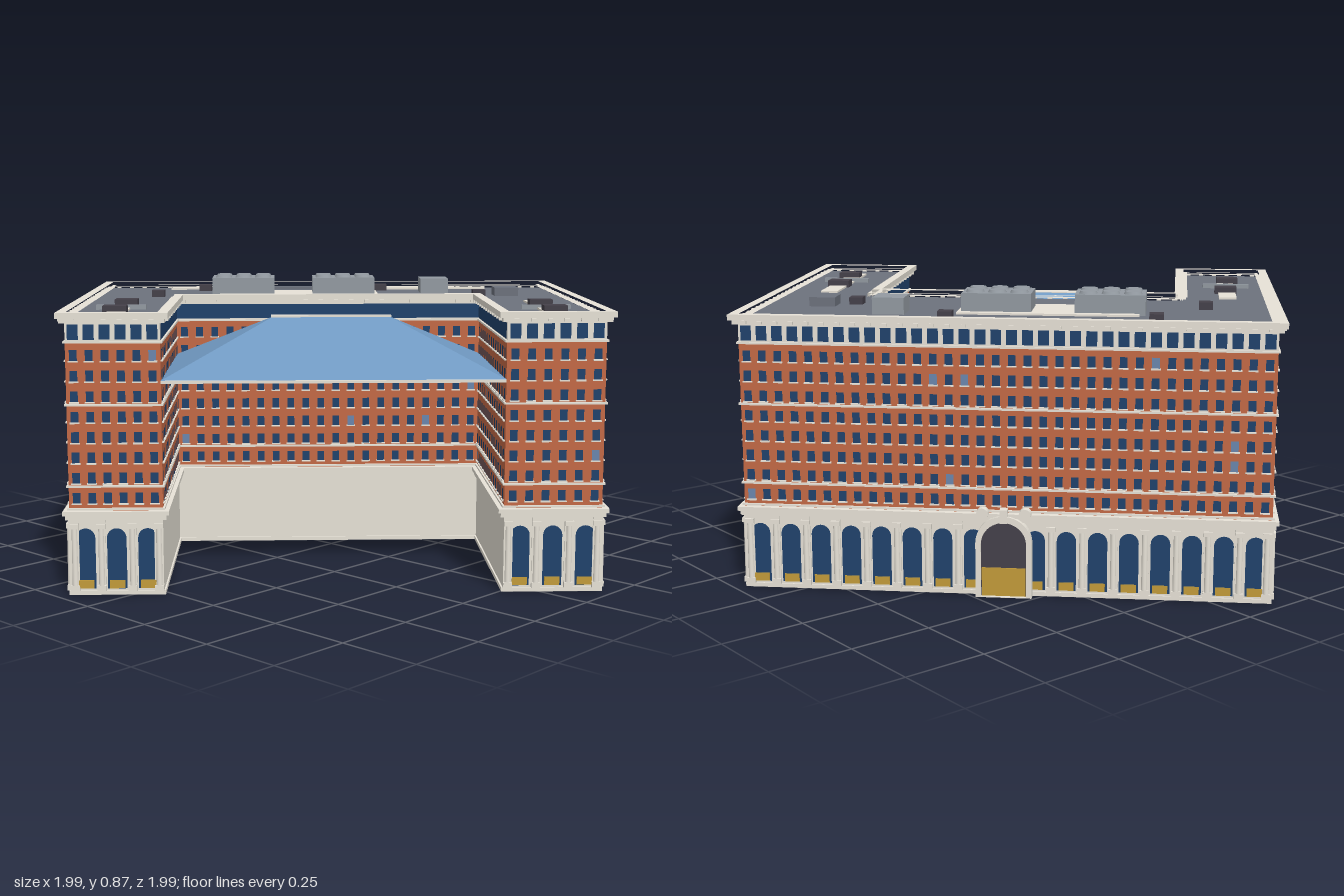
import * as THREE from 'three';
import { mergeGeometries } from 'three/addons/utils/BufferGeometryUtils.js';

const U = 0.768, V = 0.592;                   // outer half sizes of the block
const UL = -0.5, UR = 0.483, VC = -0.046;     // courtyard walls
const DECK = 0.798;

const colour = (name, hex, side = THREE.FrontSide) => {
  const m = new THREE.MeshStandardMaterial({ color: hex, side });
  m.name = name;
  return m;
};

export function createModel() {
  const mats = {
    stone: colour('pale stone', 0xe8e3d8),
    brick: colour('red brick', 0xc46a46),
    navy: colour('dark window glass', 0x20426c),
    pale: colour('pale window glass', 0x6b86ad),
    glass: colour('atrium glass', 0x7099c2, THREE.DoubleSide),
    roof: colour('roof grey', 0x6d727d),
    metal: colour('plant metal', 0x939aa1),
    base: colour('underside grey', 0x54585f),
    dark: colour('charcoal', 0x45414a),
    gold: colour('brass', 0xc29b3a),
  };

  // Collect pieces by part name; each part becomes one merged mesh
  const parts = new Map();
  const add = (name, mat, geo, matrix) => {
    const g = geo.index ? geo.toNonIndexed() : geo.clone();
    g.deleteAttribute('uv');
    if (matrix) g.applyMatrix4(matrix);
    if (!parts.has(name)) parts.set(name, { mat, list: [] });
    parts.get(name).list.push(g);
  };
  const box = (name, mat, w, h, d, x, y, z, matrix) =>
    add(name, mat, new THREE.BoxGeometry(w, h, d).translate(x, y, z), matrix);
  const pane = (name, mat, w, h, x, y, z, matrix) =>
    add(name, mat, new THREE.PlaneGeometry(w, h).translate(x, y, z), matrix);

  // U-shaped plan grown outward by o
  const planPoints = (o) => [
    [-U - o, -V - o], [U + o, -V - o], [U + o, V + o], [UR - o, V + o],
    [UR - o, VC + o], [UL + o, VC + o], [UL + o, V + o], [-U - o, V + o],
  ].map(([x, z]) => new THREE.Vector2(x, -z));
  const slab = (name, mat, o, y0, y1, hole) => {
    const s = new THREE.Shape(planPoints(o));
    if (hole !== undefined) s.holes.push(new THREE.Path(planPoints(hole)));
    const g = new THREE.ExtrudeGeometry(s, { depth: y1 - y0, bevelEnabled: false });
    add(name, mat, g.rotateX(-Math.PI / 2).translate(0, y0, 0));
  };

  // Main masses, mouldings and roof deck
  slab('underside', mats.base, 0, 0, 0.004);
  slab('plinth', mats.stone, 0.005, 0.002, 0.014);
  slab('baseStorey', mats.stone, 0, 0.004, 0.25);
  slab('baseCornice', mats.stone, 0.011, 0.224, 0.238);
  slab('baseCornice', mats.stone, 0.018, 0.238, 0.25);
  slab('brickWalls', mats.brick, 0, 0.25, 0.738);
  slab('topStorey', mats.stone, 0, 0.738, DECK - 0.004);
  slab('roofDeck', mats.roof, -0.002, DECK - 0.004, DECK);
  for (const y of [0.252, 0.318, 0.553, 0.732]) slab('stringCourses', mats.stone, 0.006, y, y + 0.006);
  slab('cornice', mats.stone, 0.014, 0.79, 0.803, -0.012);
  slab('cornice', mats.stone, 0.024, 0.803, 0.82, -0.004);
  slab('parapetStep', mats.stone, -0.004, DECK, 0.81, -0.016);

  // Arched outline standing on y = y0
  const arch = (S, w, y0, top) => {
    const s = new S();
    s.moveTo(-w / 2, y0);
    s.lineTo(w / 2, y0);
    s.lineTo(w / 2, top - w / 2);
    s.absarc(0, top - w / 2, w / 2, 0, Math.PI, false);
    s.lineTo(-w / 2, y0);
    return s;
  };
  const archPane = new THREE.ShapeGeometry(arch(THREE.Shape, 0.056, 0.02, 0.198), 6);
  const column = new THREE.CylinderGeometry(0.008, 0.009, 0.17, 8, 1, true, -Math.PI / 2, Math.PI);

  let seed = 7;
  const random = () => (seed = (seed * 16807) % 2147483647) / 2147483647;

  // One facade: local +z faces outward, x runs along the wall
  const facade = (x, z, angle, len, windows, bays, skip = -1) => {
    const m = new THREE.Matrix4().makeRotationY(angle).setPosition(x, 0, z);
    const step = len / windows;
    for (let i = 0; i < windows; i++) {
      const wx = -len / 2 + (i + 0.5) * step;
      for (let r = 0; r < 8; r++) {
        const y = 0.287 + r * 0.0587;
        const lit = random() < 0.012;
        pane(lit ? 'paleWindows' : 'windows', lit ? mats.pale : mats.navy, 0.022, 0.031, wx, y, 0.002, m);
        box('windowSills', mats.stone, 0.028, 0.004, 0.006, wx, y - 0.0175, 0.003, m);
      }
      if (bays) pane('topWindows', mats.navy, 0.031, 0.043, wx, 0.764, 0.002, m);
      box('corniceDentils', mats.stone, 0.014, 0.009, 0.008, wx, 0.797, 0.018, m);
    }
    if (!bays) {
      pane('courtyardTopGlazing', mats.navy, len, 0.046, 0, 0.764, 0.002, m);
      return;
    }
    const bay = len / bays;
    for (let i = 0; i <= bays; i++) {
      const cx = Math.min(Math.max(-len / 2 + i * bay, -len / 2 + 0.013), len / 2 - 0.013);
      // pilaster, half column, foot and capital
      box('piers', mats.stone, 0.026, 0.21, 0.004, cx, 0.118, 0.002, m);
      add('columns', mats.stone, column, new THREE.Matrix4().makeTranslation(cx, 0.115, 0.002).premultiply(m));
      box('columnCapitals', mats.stone, 0.026, 0.014, 0.011, cx, 0.205, 0.0055, m);
      box('columnFeet', mats.stone, 0.026, 0.016, 0.011, cx, 0.022, 0.0055, m);
      if (i === bays || i === skip) continue;
      const wx = -len / 2 + (i + 0.5) * bay;
      add('archedWindows', mats.navy, archPane, new THREE.Matrix4().makeTranslation(wx, 0, 0.002).premultiply(m));
      box('brassPanels', mats.gold, 0.044, 0.024, 0.004, wx, 0.033, 0.003, m);
    }
  };
  const H = Math.PI / 2;
  facade(0, -V, Math.PI, 2 * U, 34, 17, 8);
  facade(-U, 0, -H, 2 * V, 24, 12);
  facade(U, 0, H, 2 * V, 24, 12);
  facade((UL - U) / 2, V, 0, U + UL, 6, 3);
  facade((UR + U) / 2, V, 0, U - UR, 6, 3);
  facade((UL + UR) / 2, VC, 0, UR - UL, 20, 0);
  facade(UL, (V + VC) / 2, H, V - VC, 13, 0);
  facade(UR, (V + VC) / 2, -H, V - VC, 13, 0);

  // Arched entrance portal in the middle of the long back wall
  const door = new THREE.Matrix4().makeRotationY(Math.PI).setPosition(0, 0, -V);
  const frame = arch(THREE.Shape, 0.164, 0, 0.245);
  frame.holes.push(arch(THREE.Path, 0.132, 0.002, 0.226));
  add('portalFrame', mats.stone, new THREE.ExtrudeGeometry(frame, { depth: 0.026, bevelEnabled: false }), door);
  add('portalOpening', mats.dark, new THREE.ShapeGeometry(arch(THREE.Shape, 0.132, 0.004, 0.226), 10).translate(0, 0, 0.02), door);
  box('portalDoors', mats.gold, 0.128, 0.085, 0.004, 0, 0.047, 0.021, door);
  box('portalKeystone', mats.stone, 0.022, 0.04, 0.03, 0, 0.245, 0.015, door);
  for (const side of [-1, 1]) {
    add('portalScrolls', mats.stone, new THREE.CylinderGeometry(0.018, 0.018, 0.026, 12)
      .rotateX(H).translate(side * 0.062, 0.25, 0.013), door);
  }

  // Hipped glass roof over the courtyard
  const eave = 0.625, ridge = 0.778, half = (V - VC) / 2, mid = (V + VC) / 2;
  const c = [[UL, eave, VC], [UR, eave, VC], [UR, eave, V], [UL, eave, V],
    [UL + half, ridge, mid], [UR - half, ridge, mid]];
  const hip = new THREE.BufferGeometry();
  const faces = [3, 2, 5, 3, 5, 4, 1, 0, 4, 1, 4, 5, 0, 3, 4, 2, 1, 5];
  hip.setAttribute('position', new THREE.Float32BufferAttribute(faces.flatMap((i) => c[i]), 3));
  hip.computeVertexNormals();
  add('atriumRoof', mats.glass, hip);
  box('atriumRidge', mats.stone, UR - UL - 2 * half + 0.02, 0.006, 0.024, (UL + UR) / 2, ridge, mid);
  box('atriumEave', mats.stone, UR - UL, 0.008, 0.012, (UL + UR) / 2, eave - 0.005, V - 0.006);

  // Items standing on the roof deck
  const onDeck = (name, mat, w, h, d, x, z) => box(name, mat, w, h, d, x, DECK + h / 2, z);
  onDeck('backWalkway', mats.stone, 1.11, 0.006, 0.05, 0.004, -0.533);
  onDeck('backUpstand', mats.roof, 0.36, 0.012, 0.02, -0.13, -0.51);
  onDeck('plantPad', mats.stone, 0.54, 0.006, 0.2, -0.106, -0.303);
  for (const x of [0.048, -0.289]) {
    onDeck('coolingUnits', mats.metal, 0.208, 0.06, 0.138, x, -0.307);
    for (let i = 0; i < 6; i++) {
      const fx = x + ((i % 3) - 1) * 0.066, fz = -0.307 + (i < 3 ? -0.034 : 0.034);
      add('coolingFans', mats.metal, new THREE.CylinderGeometry(0.024, 0.028, 0.008, 14).translate(fx, DECK + 0.064, fz));
    }
  }
  onDeck('liftHouse', mats.metal, 0.095, 0.05, 0.095, 0.363, -0.378);
  onDeck('stairHouse', mats.roof, 0.08, 0.028, 0.075, 0.594, -0.246);
  for (const [x, z] of [[0.185, -0.472], [0.5, -0.212], [-0.427, -0.465], [-0.571, -0.216],
    [0.643, 0.182], [0.652, 0.39], [-0.639, 0.14], [-0.65, 0.37]]) {
    onDeck('roofVents', mats.dark, z > 0 ? 0.07 : 0.042, 0.022, z > 0 ? 0.052 : 0.042, x, z);
  }
  for (const [x, z] of [[0.643, 0.25], [-0.643, 0.227]]) {
    onDeck('wingWalkways', mats.stone, 0.055, 0.006, 0.46, x, z);
    onDeck('wingDucts', mats.metal, 0.15, 0.014, 0.014, x, z + 0.037);
  }

  const group = new THREE.Group();
  group.name = 'courtyardBuilding';
  for (const [name, { mat, list }] of parts) {
    const mesh = new THREE.Mesh(mergeGeometries(list), mat);
    mesh.name = name;
    group.add(mesh);
  }
  group.rotation.y = Math.PI / 4;
  const model = new THREE.Group();
  model.name = 'building';
  model.add(group);
  return model;
}
